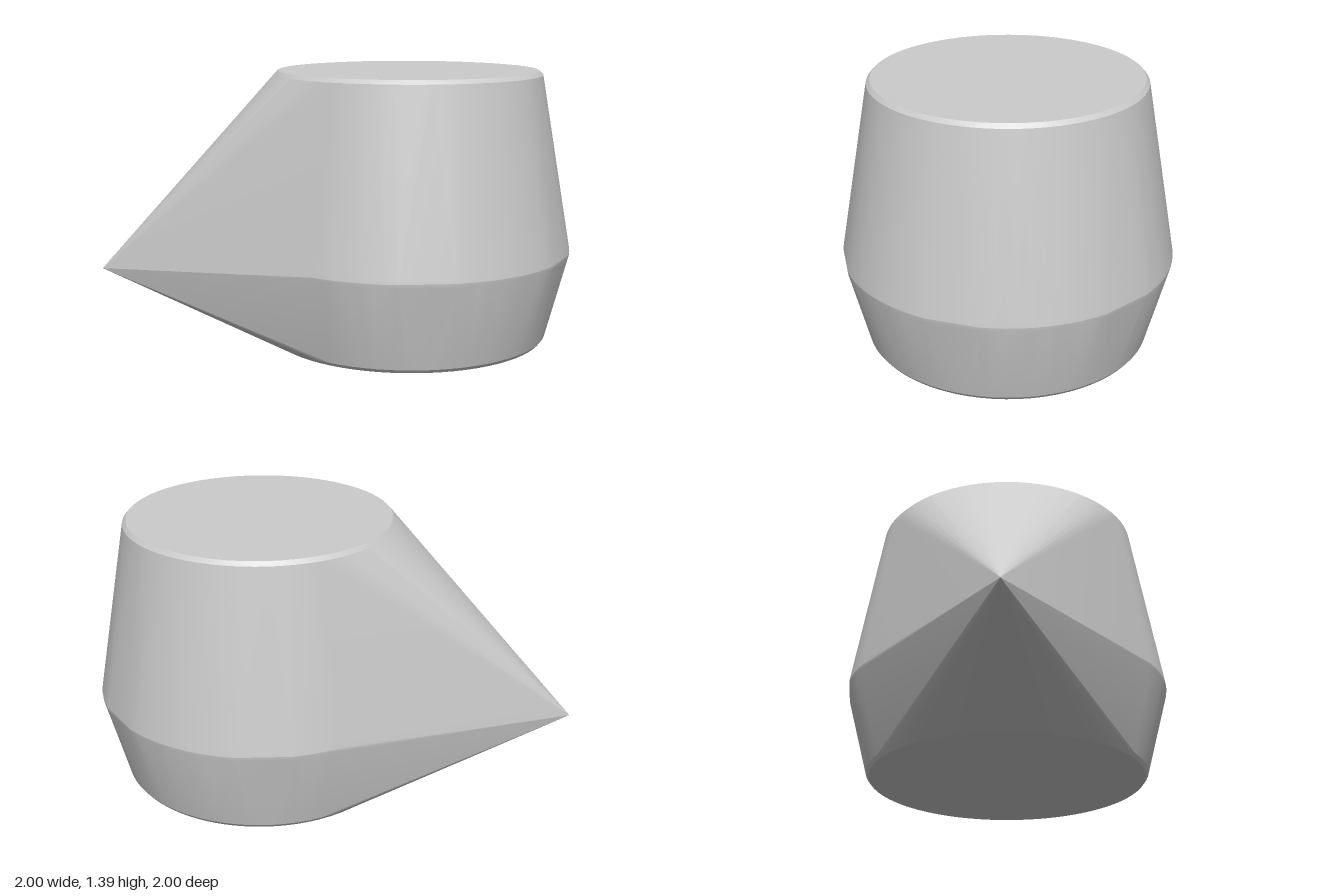
import * as THREE from 'three';
import { ConvexGeometry } from 'three/addons/geometries/ConvexGeometry.js';
import { toCreasedNormals } from 'three/addons/utils/BufferGeometryUtils.js';

const CENTRE = 0.155; // axis of the round body, in x and z

// Points along an arc around the body's axis (degrees)
function arc(radius, y, from, to, steps) {
  return Array.from({ length: steps + 1 }, (_, i) => {
    const a = THREE.MathUtils.degToRad(from + ((to - from) * i) / steps);
    return new THREE.Vector3(CENTRE + radius * Math.cos(a), y, CENTRE + radius * Math.sin(a));
  });
}

export function createModel() {
  const group = new THREE.Group();
  const points = [];

  // Bevelled base and top rims: full circles of [radius, height]
  for (const [radius, y] of [[0.715, 0], [0.729, 0.018], [0.688, 1.37], [0.67, 1.39]]) {
    points.push(...arc(radius, y, 0, 355, 71));
  }

  // Waist: six arcs with flats between them, with a softened edge
  for (let k = 0; k < 6; k++) {
    const start = -43.5 + k * 60;
    for (const [radius, y] of [[0.843, 0.45], [0.845, 0.465], [0.843, 0.48]]) {
      points.push(...arc(radius, y, start, start + 42, 10));
    }
  }

  // Pointed spout tip at the back right corner
  points.push(new THREE.Vector3(-1, 0.32, -1));

  // One taut skin stretched over rims, waist and tip
  const skin = toCreasedNormals(new ConvexGeometry(points), 0.2);
  const body = new THREE.Mesh(skin, new THREE.MeshStandardMaterial({ color: 0xcccccc }));
  body.name = 'spoutedBody';
  group.add(body);
  return group;
}
